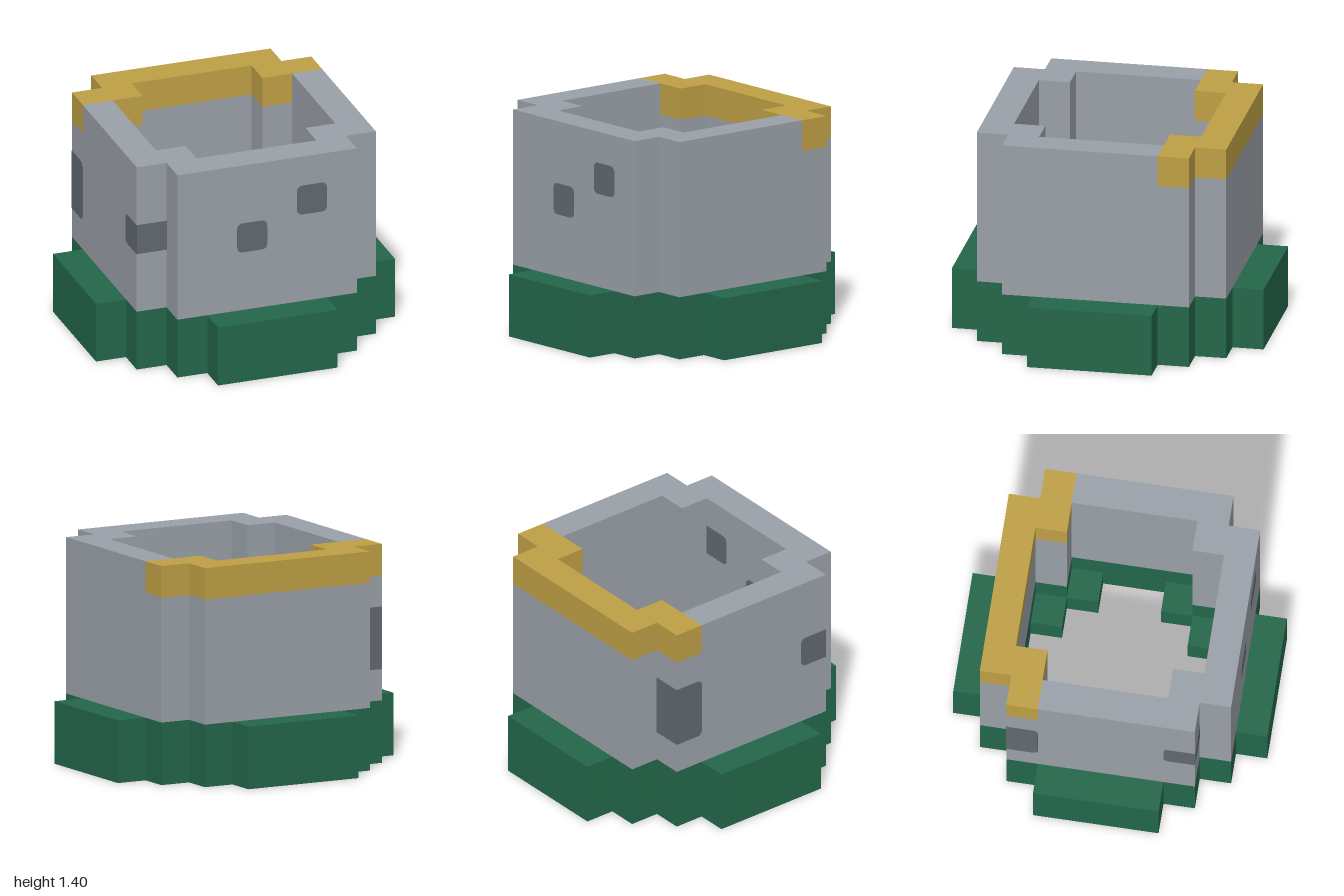
import * as THREE from 'three';

function material(name, color) {
  const m = new THREE.MeshStandardMaterial({ color });
  m.name = name;
  return m;
}

const vec = ([x, y]) => new THREE.Vector2(x, y);

// Repeat a stepped quarter outline in all four quadrants
function mirrorFour(quarter) {
  const back = [...quarter].reverse();
  return [
    ...quarter,
    ...back.map(([x, y]) => [-x, y]),
    ...quarter.map(([x, y]) => [-x, -y]),
    ...back.map(([x, y]) => [x, -y]),
  ].map(vec);
}

// Mirror half an outline from +x to -x
function mirrorTwo(half) {
  return [...half, ...[...half].reverse().map(([x, y]) => [-x, y])].map(vec);
}

// Raise a plan outline (x, -z) from y0 to y1
function slab(name, outline, hole, y0, y1, mat) {
  const shape = new THREE.Shape(outline);
  if (hole) shape.holes.push(new THREE.Path(hole));
  const geo = new THREE.ExtrudeGeometry(shape, { depth: y1 - y0, bevelEnabled: false });
  geo.rotateX(-Math.PI / 2).translate(0, y0, 0);
  const mesh = new THREE.Mesh(geo, mat);
  mesh.name = name;
  return mesh;
}

// Thin plate whose left and right corners are rounded by rl and rr
function plate(name, w, h, rl, rr, position, turn, mat) {
  const a = w / 2, b = h / 2;
  const s = new THREE.Shape();
  s.moveTo(-a + rl, -b);
  s.lineTo(a - rr, -b);
  if (rr) s.quadraticCurveTo(a, -b, a, -b + rr);
  s.lineTo(a, b - rr);
  if (rr) s.quadraticCurveTo(a, b, a - rr, b);
  s.lineTo(-a + rl, b);
  if (rl) s.quadraticCurveTo(-a, b, -a, b - rl);
  s.lineTo(-a, -b + rl);
  if (rl) s.quadraticCurveTo(-a, -b, -a + rl, -b);
  const geo = new THREE.ExtrudeGeometry(s, { depth: 0.003, bevelEnabled: false, curveSegments: 5 });
  const mesh = new THREE.Mesh(geo, mat);
  mesh.name = name;
  mesh.position.set(...position);
  mesh.rotation.y = turn;
  return mesh;
}

export function createModel() {
  const green = material('grass green', 0x23664a);
  const grey = material('stone grey', 0x9aa0a8);
  const dark = material('dark stone', 0x61686f);
  const gold = material('gold', 0xbe9f45);

  const baseOuter = [[1, 0.4], [0.8, 0.4], [0.8, 0.6], [0.6, 0.6], [0.6, 0.8], [0.4, 0.8], [0.4, 1]];
  const baseHole = [[0.6, 0.2], [0.4, 0.2], [0.4, 0.4], [0.2, 0.4], [0.2, 0.6]];
  const wallOuter = [[0.8, 0.6], [0.6, 0.6], [0.6, 0.8]];
  const wallHole = [[0.6, 0.4], [0.4, 0.4], [0.4, 0.6]];

  const model = new THREE.Group();
  model.name = 'stoneWell';

  // Stepped base: the lower layer leaves a ledge inside
  model.add(
    slab('lowerBase', mirrorFour(baseOuter), mirrorFour(baseHole), 0, 0.2, green),
    slab('upperBase', mirrorFour(baseOuter), mirrorFour(wallHole), 0.2, 0.4, green),
  );

  // Wall and its rim, gold at the back
  const goldHalf = [[0.4, 0.6], [0.4, 0.4], [0.8, 0.4], [0.8, 0.6], [0.6, 0.6], [0.6, 0.8]];
  const greyHalf = [[0.6, -0.8], [0.6, -0.6], [0.8, -0.6], [0.8, 0.4], [0.6, 0.4],
    [0.6, -0.4], [0.4, -0.4], [0.4, -0.6]];
  model.add(
    slab('wall', mirrorFour(wallOuter), mirrorFour(wallHole), 0.4, 1.2, grey),
    slab('frontRim', mirrorTwo(greyHalf), null, 1.2, 1.4, grey),
    slab('backRim', mirrorTwo(goldHalf), null, 1.2, 1.4, gold),
  );

  // Dark stones in the wall
  const r = 0.04, half = Math.PI / 2;
  model.add(
    plate('frontStoneLow', 0.2, 0.2, r, r, [-0.1, 0.9, 0.8], 0, dark),
    plate('frontStoneHigh', 0.2, 0.2, r, r, [0.3, 1.1, 0.8], 0, dark),
    plate('innerStoneLow', 0.2, 0.2, r, r, [-0.1, 0.9, 0.6], Math.PI, dark),
    plate('innerStoneHigh', 0.2, 0.2, 0, r, [0.3, 1.1, 0.6], Math.PI, dark),
    plate('frontCornerStoneFront', 0.2, 0.2, 0, 0, [-0.7, 0.9, 0.6], 0, dark),
    plate('frontCornerStoneSide', 0.2, 0.2, r, 0, [-0.8, 0.9, 0.5], -half, dark),
    plate('backCornerStoneBack', 0.2, 0.4, 0, 0, [-0.7, 0.8, -0.6], Math.PI, dark),
    plate('backCornerStoneSide', 0.2, 0.4, 0, r, [-0.8, 0.8, -0.5], -half, dark),
  );
  return model;
}
